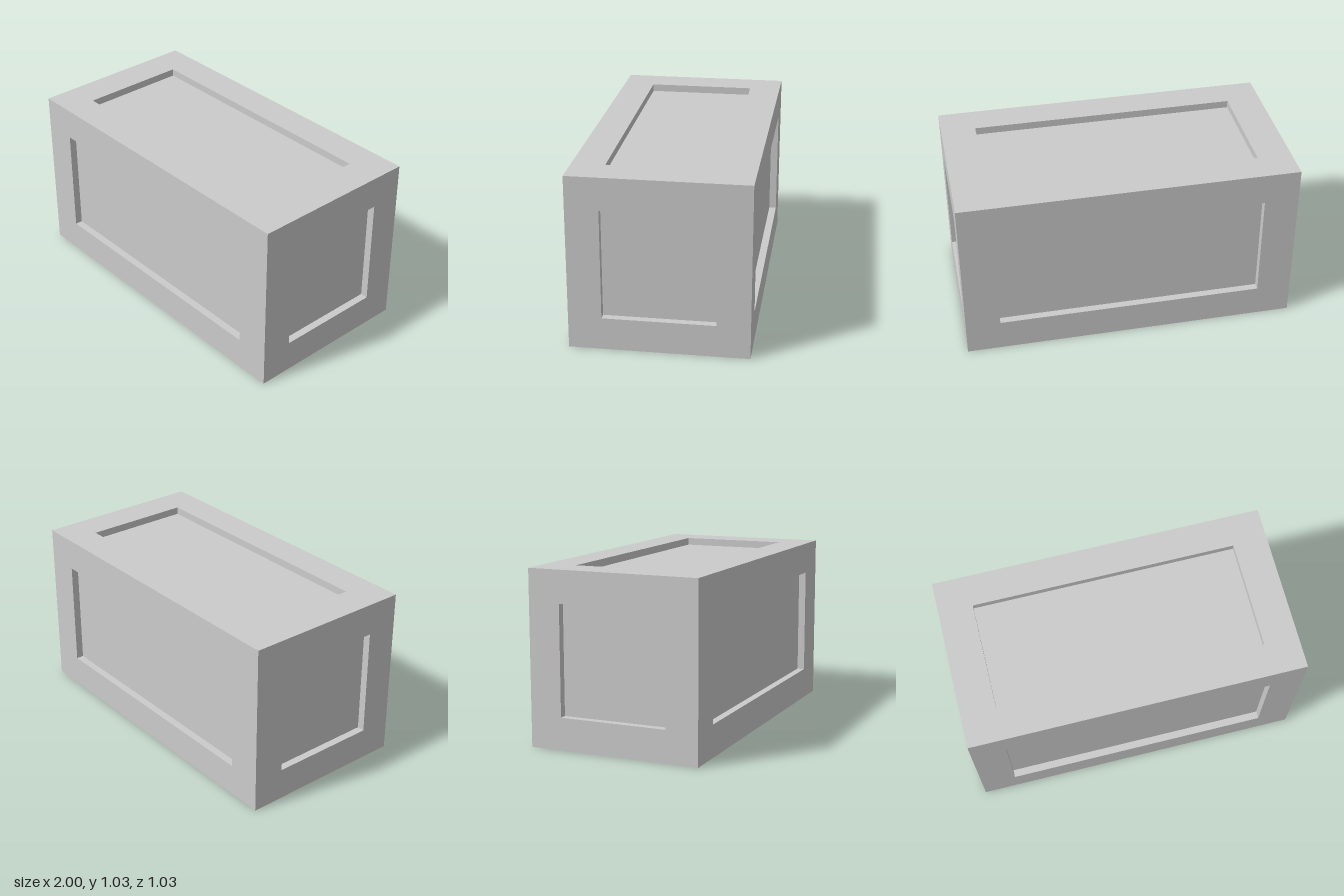
import * as THREE from 'three';

const LENGTH = 2, SIDE = 1.034;                 // outer block
const OPEN_LENGTH = 1.588, OPEN_SIDE = 0.65;    // recess openings
const DEPTH = 0.045;                            // recess depth

// One block face looking along +z: flat border, recess walls and sunken panel
function recessedFace(w, h, openW, openH, dist) {
  const loop = (lw, lh, z) =>
    [[-1, -1], [1, -1], [1, 1], [-1, 1]].map(([sx, sy]) => [sx * lw / 2, sy * lh / 2, z]);
  const loops = [
    loop(w, h, dist),
    loop(openW, openH, dist),
    loop(openW, openH, dist - DEPTH),
  ];
  const positions = [];
  const quad = (a, b, c, d) => positions.push(...a, ...b, ...c, ...a, ...c, ...d);
  for (let k = 0; k < loops.length - 1; k++) {
    for (let i = 0; i < 4; i++) {
      const j = (i + 1) % 4;
      quad(loops[k][i], loops[k][j], loops[k + 1][j], loops[k + 1][i]);
    }
  }
  quad(...loops[2]);
  const geometry = new THREE.BufferGeometry();
  geometry.setAttribute('position', new THREE.Float32BufferAttribute(positions, 3));
  geometry.computeVertexNormals();
  return geometry;
}

export function createModel() {
  const block = new THREE.Group();
  block.name = 'panelledBlock';
  const material = new THREE.MeshStandardMaterial({ color: 0xcccccc, flatShading: true });

  const longFace = recessedFace(LENGTH, SIDE, OPEN_LENGTH, OPEN_SIDE, SIDE / 2);
  const endFace = recessedFace(SIDE, SIDE, OPEN_SIDE, OPEN_SIDE, LENGTH / 2);
  const q = Math.PI / 2;

  // Four long faces around the x axis, then the two square ends
  const faces = [
    ['frontFace', longFace, 0, 0],
    ['topFace', longFace, -q, 0],
    ['backFace', longFace, 2 * q, 0],
    ['bottomFace', longFace, q, 0],
    ['leftEnd', endFace, 0, q],
    ['rightEnd', endFace, 0, -q],
  ];
  for (const [name, geometry, rx, ry] of faces) {
    const mesh = new THREE.Mesh(geometry, material);
    mesh.name = name;
    mesh.rotation.set(rx, ry, 0);
    mesh.position.y = SIDE / 2;
    block.add(mesh);
  }
  return block;
}
